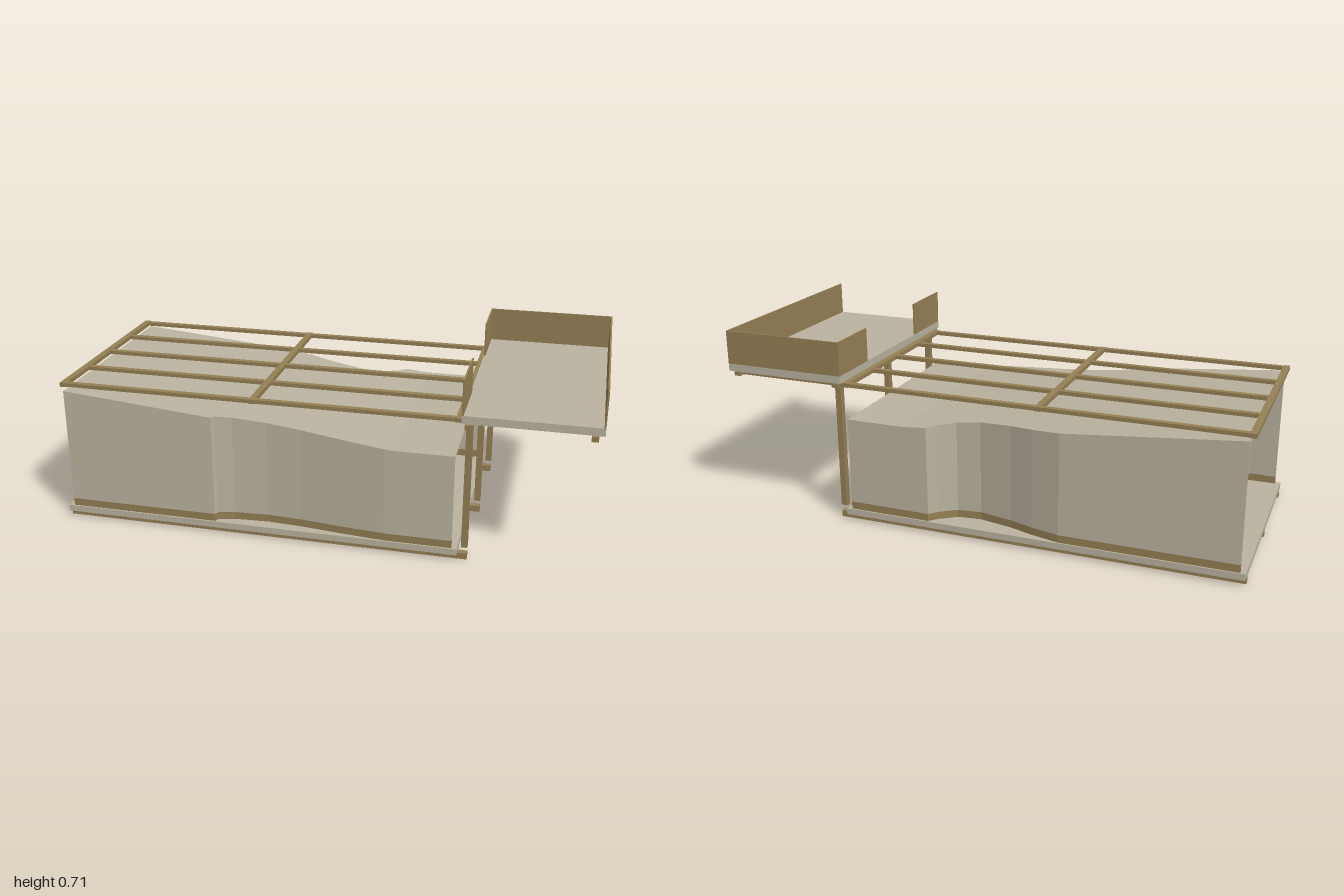
import * as THREE from 'three';

export function createModel() {
  const model = new THREE.Group();
  const wood = new THREE.MeshStandardMaterial({ color: 0x957f55 });
  wood.name = 'wood';
  const panel = new THREE.MeshStandardMaterial({ color: 0xbab39f });
  panel.name = 'pale panel';

  function add(name, geometry, material) {
    const mesh = new THREE.Mesh(geometry, material);
    mesh.name = name;
    model.add(mesh);
  }

  // Box given by its lower and upper limits on each axis
  function box(name, material, x0, x1, y0, y1, z0, z1) {
    const g = new THREE.BoxGeometry(x1 - x0, y1 - y0, z1 - z0);
    g.translate((x0 + x1) / 2, (y0 + y1) / 2, (z0 + z1) / 2);
    add(name, g, material);
  }

  // Segmented box whose slices are placed at stations along x
  function loft(name, material, xs, yRange, zRange) {
    const n = xs.length - 1;
    const g = new THREE.BoxGeometry(1, 1, 1, n, 1, 1).toNonIndexed();
    const p = g.attributes.position;
    for (let i = 0; i < p.count; i++) {
      const x = xs[Math.round((p.getX(i) + 0.5) * n)];
      const y = yRange(x)[p.getY(i) > 0 ? 1 : 0];
      const z = zRange(x)[p.getZ(i) > 0 ? 1 : 0];
      p.setXYZ(i, x, y, z);
    }
    g.computeVertexNormals();
    add(name, g, material);
  }

  // Plan lines of the two wavy side walls (x, outer z)
  const frontLine = [[-0.98, 0.402], [-0.4, 0.402], [-0.393, 0.385], [-0.33, 0.368], [-0.2, 0.36],
    [-0.07, 0.368], [0.1, 0.388], [0.25, 0.402], [0.5, 0.402]];
  const backLine = [[-0.98, -0.432], [-0.33, -0.432], [-0.22, -0.405], [-0.13, -0.375], [0, -0.348],
    [0.09, -0.358], [0.15, -0.4], [0.18, -0.432], [0.5, -0.432]];
  const kink = 0.27;

  const lineAt = (line) => (x) => {
    let i = 1;
    while (i < line.length - 1 && x > line[i][0]) i++;
    const [a, b] = [line[i - 1], line[i]];
    return a[1] + (b[1] - a[1]) * (x - a[0]) / (b[0] - a[0]);
  };
  const frontZ = lineAt(frontLine);
  const backZ = lineAt(backLine);
  const roofY = lineAt([[-0.98, 0.523], [kink, 0.41], [0.5, 0.41]]);
  const stations = (...lines) =>
    [...new Set([kink, ...lines.flat().map((q) => q[0])])].sort((a, b) => a - b);

  // Floor slab on three long bearers
  const rows = [0.375, -0.012, -0.402];
  box('floor', panel, -1, 0.52, 0.024, 0.048, -0.438, 0.408);
  for (const z of rows) box('floorBearer', wood, -1, 0.555, 0, 0.024, z - 0.012, z + 0.012);

  // Side walls with a skirting at the foot
  const t = 0.012, foot = 0.048, skirt = 0.077;
  const sides = [
    ['front', frontLine, (x) => [frontZ(x) - t, frontZ(x)]],
    ['back', backLine, (x) => [backZ(x), backZ(x) + t]],
  ];
  for (const [side, line, zRange] of sides) {
    const xs = stations(line);
    loft(side + 'Skirting', wood, xs, () => [foot, skirt], zRange);
    loft(side + 'Wall', panel, xs, (x) => [skirt, roofY(x) - 0.015], zRange);
  }

  // Sloping ceiling that follows the wall lines
  loft('ceiling', panel, stations(frontLine, backLine),
    (x) => [roofY(x) - 0.015, roofY(x)], (x) => [backZ(x), frontZ(x)]);

  // Open timber frame above the ceiling
  for (const z of [-0.415, -0.218, -0.019, 0.179, 0.373])
    box('frameRail', wood, -1, 0.52, 0.534, 0.548, z - 0.011, z + 0.011);
  for (const x of [-0.988, -0.246, 0.507])
    box('frameCrossbar', wood, x - 0.012, x + 0.012, 0.533, 0.549, -0.428, 0.386);

  // Posts and joists carrying the raised platform
  for (const z of rows) {
    box('post', wood, 0.533, 0.556, 0.048, 0.53, z - 0.012, z + 0.012);
    box('platformJoist', wood, 0.525, 0.995, 0.531, 0.548, z - 0.012, z + 0.012);
  }
  for (const x of [0.545, 0.968])
    box('platformBeam', wood, x - 0.012, x + 0.012, 0.53, 0.548, -0.436, 0.443);

  // Platform deck and its parapet, open at the front
  const w = 0.006, low = 0.577, high = 0.706;
  box('platformDeck', panel, 0.52, 1, 0.548, low, -0.44, 0.43);
  box('outerParapet', wood, 1 - w, 1, low, high, -0.44, 0.43);
  box('backParapet', wood, 0.52, 1 - w, low, high, -0.44, -0.44 + w);
  box('innerParapetBack', wood, 0.52, 0.52 + w, low, high, -0.44 + w, -0.22);
  box('innerParapetFront', wood, 0.52, 0.52 + w, low, high, 0.195, 0.43);

  return model;
}
